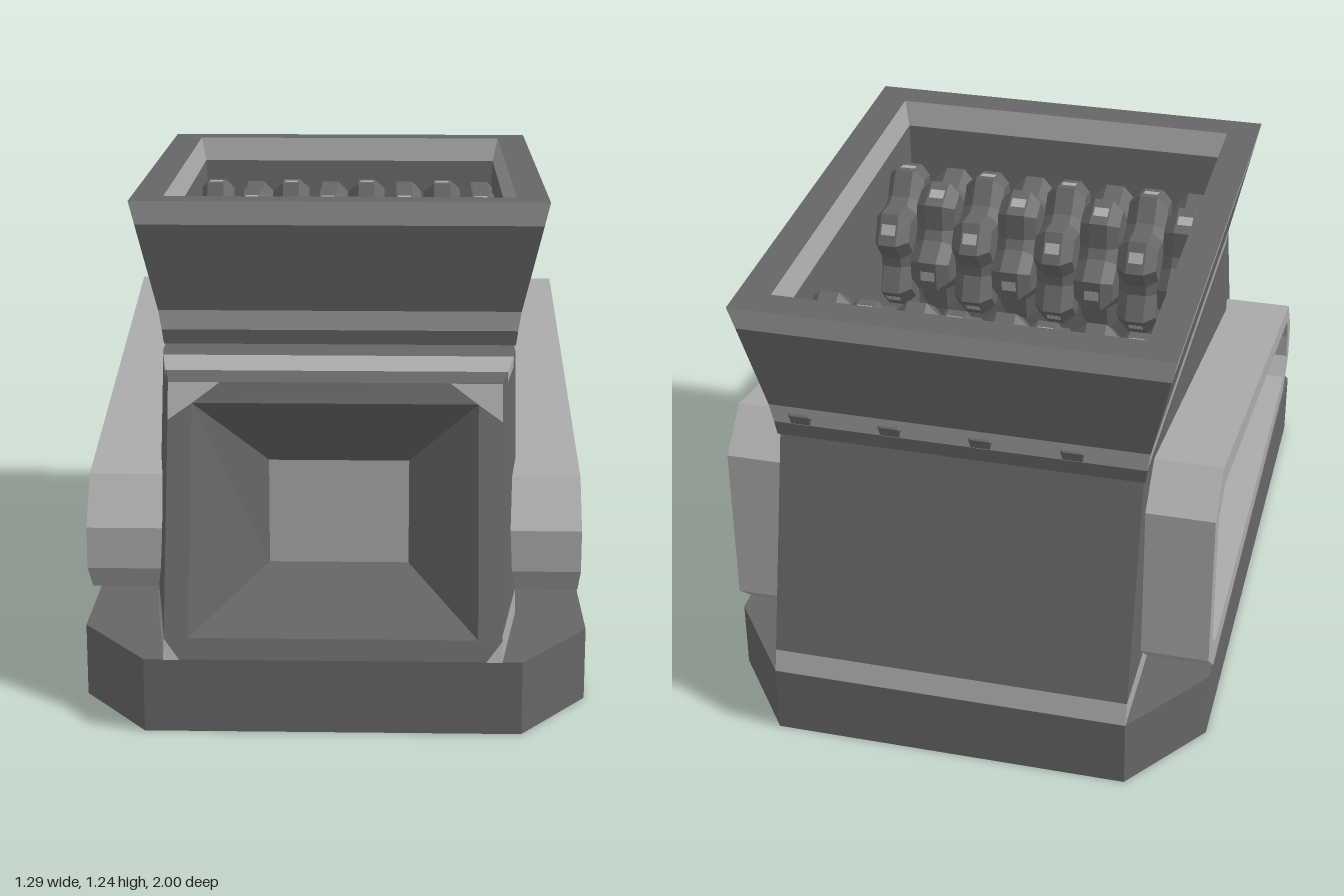
import * as THREE from 'three';

export function createModel() {
  const model = new THREE.Group();
  const makeMaterial = (name, color) =>
    Object.assign(new THREE.MeshStandardMaterial({ color, side: THREE.DoubleSide }), { name });
  const dark = makeMaterial('darkGrey', 0x666666);
  const light = makeMaterial('lightGrey', 0xaaaaaa);

  const add = (name, geometry, material, parent = model) => {
    const mesh = new THREE.Mesh(geometry, material);
    mesh.name = name;
    parent.add(mesh);
    return mesh;
  };
  const faceted = (triangles) => {
    const g = new THREE.BufferGeometry();
    g.setAttribute('position', new THREE.Float32BufferAttribute(triangles.flat(), 3));
    g.computeVertexNormals();
    return g;
  };
  // Quads between successive rings of points
  const loft = (rings, closed = true) => {
    const t = [];
    for (let r = 0; r + 1 < rings.length; r++) {
      const a = rings[r], b = rings[r + 1], n = a.length;
      for (let i = 0; i < (closed ? n : n - 1); i++) {
        const j = (i + 1) % n;
        t.push(a[i], a[j], b[j], a[i], b[j], b[i]);
      }
    }
    return faceted(t);
  };
  const fan = (p) => faceted(p.slice(2).flatMap((q, i) => [p[0], p[i + 1], q]));

  // Base slab with cut corners
  const plan = [[-0.47, 1], [0.47, 1], [0.645, 0.76], [0.645, -0.76],
    [0.47, -1], [-0.47, -1], [-0.645, -0.76], [-0.645, 0.76]];
  const slab = (y) => plan.map(([x, z]) => [x, y, z]);
  add('baseSides', loft([slab(0), slab(0.19)]), dark);
  add('baseTop', fan(slab(0.19)), dark);
  add('baseBottom', fan(slab(0).reverse()), dark);

  // Body shell: open at the front, leaning in at both ends
  const frontZ = (y) => 1 - 0.24 * (y - 0.19) / 0.65;
  const backZ = (y) => -1 + 0.16 * (y - 0.19) / 0.65;
  const shell = (y) => {
    const f = frontZ(y), b = backZ(y);
    return [[0.42, y, f], [0.47, y, f - 0.36], [0.47, y, b],
      [-0.47, y, b], [-0.47, y, f - 0.36], [-0.42, y, f]];
  };
  add('bodyBand', loft([shell(0.19), shell(0.25)], false), light);
  add('bodyWalls', loft([shell(0.25), shell(0.84)], false), dark);
  add('bodyTop', fan([[-0.42, 0.84, 0.76], [0.42, 0.84, 0.76], [0.47, 0.84, 0.4],
    [0.47, 0.84, 0.3], [-0.47, 0.84, 0.3], [-0.47, 0.84, 0.4]]), dark);

  // Light strip folded over the top of the body
  const strip = (z) => {
    const x = 0.473 - 0.05 * (z - 0.4) / 0.36;
    return [[x, 0.815, z], [x, 0.843, z], [-x, 0.843, z], [-x, 0.815, z]];
  };
  add('topStrip', loft([strip(0.65), strip(0.48)], false), light);

  // Front frame and the tapering outlet chute
  const mouthRing = (x, y0, y1) => [[-x, y0, frontZ(y0)], [x, y0, frontZ(y0)],
    [x, y1, frontZ(y1)], [-x, y1, frontZ(y1)]];
  const mouth = mouthRing(0.36, 0.24, 0.79);
  const chuteEnd = [[-0.19, 0.24, 0.39], [0.19, 0.24, 0.39], [0.19, 0.53, 0.39], [-0.19, 0.53, 0.39]];
  add('frontFrame', loft([mouthRing(0.42, 0.19, 0.84), mouth]), dark);
  add('chuteWalls', loft([mouth, chuteEnd]), dark);
  add('chuteEnd', fan(chuteEnd), light);

  // Worn corner patches on the front frame
  for (const s of [1, -1]) {
    const patch = (name, pts) => {
      const p = pts.map(([x, y]) => [s * x, y, frontZ(y) + 0.004]);
      add(name, fan(s > 0 ? p : p.reverse()), light);
    };
    patch('upperCorner', [[0.42, 0.84], [0.29, 0.84], [0.36, 0.79], [0.42, 0.75]]);
    patch('lowerCorner', [[0.38, 0.19], [0.42, 0.19], [0.42, 0.24]]);
  }

  // Hopper: outer wall, rim and inner wall
  const hopper = new THREE.Group();
  hopper.name = 'hopper';
  hopper.position.z = -0.255;
  model.add(hopper);
  const rect = ([y, x, z]) => [[-x, y, z], [x, y, z], [x, y, -z], [-x, y, -z]];
  const sections = [[0.84, 0.46, 0.57], [0.84, 0.475, 0.592], [0.88, 0.48, 0.597], [0.935, 0.488, 0.605],
    [1.175, 0.541, 0.651], [1.24, 0.555, 0.665], [1.24, 0.47, 0.58], [1.17, 0.455, 0.565], [0.56, 0.42, 0.5]];
  const bands = [['underside', dark], ['collar', dark], ['lowerBand', light], ['outerWall', dark],
    ['upperBand', light], ['rim', dark], ['innerBand', light], ['innerWall', dark]];
  bands.forEach(([name, material], i) =>
    add(name, loft([rect(sections[i]), rect(sections[i + 1])]), material, hopper));
  add('hopperFloor', fan(rect(sections[8])), dark, hopper);

  // Toothed crushing rollers
  const teeth = 5;
  const outline = [];
  for (let i = 0; i < teeth; i++) {
    for (const [step, r] of [[-0.13, 0.175], [0.13, 0.175], [0.36, 0.125], [0.64, 0.125]]) {
      const a = (i + step) / teeth * Math.PI * 2;
      outline.push(new THREE.Vector2(r * Math.cos(a), r * Math.sin(a)));
    }
  }
  const discGeometry = new THREE.ExtrudeGeometry(new THREE.Shape(outline),
    { depth: 0.05, bevelThickness: 0.03, bevelSize: 0.025, bevelSegments: 1 });
  discGeometry.translate(0, 0, -0.025);
  const tipGeometry = new THREE.BoxGeometry(0.008, 0.03, 0.04);
  for (const [name, z, turn] of [['rearRoller', -0.66, 0.3], ['frontRoller', 0.1, -0.1]]) {
    const roller = new THREE.Group();
    roller.name = name;
    roller.position.set(0, 0.93, z);
    roller.rotation.y = Math.PI / 2;
    model.add(roller);
    const axle = add('axle', new THREE.CylinderGeometry(0.08, 0.08, 0.88, 8), dark, roller);
    axle.rotation.x = Math.PI / 2;
    for (let i = 0; i < 8; i++) {
      const disc = add('disc', discGeometry, dark, roller);
      disc.position.z = -0.41 + i * 0.117;
      disc.rotation.z = turn + (i % 2) * Math.PI / teeth;
      for (let k = 0; k < teeth; k++) {
        const a = k / teeth * Math.PI * 2;
        const tip = add('toothTip', tipGeometry, light, disc);
        tip.position.set(0.194 * Math.cos(a), 0.194 * Math.sin(a), 0);
        tip.rotation.z = a;
      }
    }
  }

  // Drive belts and octagonal pulleys on both sides
  const beltOuter = [[0.69, 0.43], [0.6, 0.55], [-0.7, 0.815], [-0.805, 0.72],
    [-0.805, 0.28], [-0.71, 0.19], [0.6, 0.24], [0.69, 0.32]];
  const beltInner = [[0.635, 0.42], [0.59, 0.5], [-0.67, 0.745], [-0.75, 0.69],
    [-0.75, 0.31], [-0.69, 0.26], [0.59, 0.3], [0.635, 0.35]];
  const toPoints = (pts) => pts.map(([z, y]) => new THREE.Vector2(-z, y));
  const beltShape = new THREE.Shape(toPoints(beltOuter));
  beltShape.holes.push(new THREE.Path(toPoints(beltInner)));
  const beltGeometry = new THREE.ExtrudeGeometry(beltShape, { depth: 0.2, bevelEnabled: false });
  const octagon = (r, depth) => {
    const g = new THREE.CylinderGeometry(r, r, depth, 8).toNonIndexed();
    g.computeVertexNormals();
    return g.rotateY(Math.PI / 8).rotateX(Math.PI / 2).translate(0, 0, depth / 2);
  };
  for (const s of [1, -1]) {
    const drive = new THREE.Group();
    drive.name = s > 0 ? 'leftDrive' : 'rightDrive';
    drive.rotation.y = s * Math.PI / 2;
    drive.position.x = s * 0.435;
    model.add(drive);
    const belt = add('belt', beltGeometry, light, drive);
    if (s < 0) {
      // Opposite hand: same outline, reversed along the body
      const mirrored = toPoints(beltOuter).map((p) => new THREE.Vector2(-p.x, p.y));
      const shape = new THREE.Shape(mirrored);
      shape.holes.push(new THREE.Path(toPoints(beltInner).map((p) => new THREE.Vector2(-p.x, p.y))));
      belt.geometry = new THREE.ExtrudeGeometry(shape, { depth: 0.213, bevelEnabled: false });
    }
    for (const [z, y, r] of [[-0.515, 0.5, 0.25], [0.48, 0.385, 0.15]]) {
      const pulley = new THREE.Group();
      pulley.name = r > 0.2 ? 'largePulley' : 'smallPulley';
      pulley.position.set(-s * z, y, 0);
      drive.add(pulley);
      add('pulleyRim', octagon(r, 0.11), light, pulley);
      add('pulleyFace', octagon(r * 0.98, 0.115), dark, pulley);
      add('pulleyRing', octagon(r * 0.82, 0.13), dark, pulley);
      add('pulleyHub', octagon(r * 0.7, 0.15), dark, pulley);
    }
  }
  return model;
}
